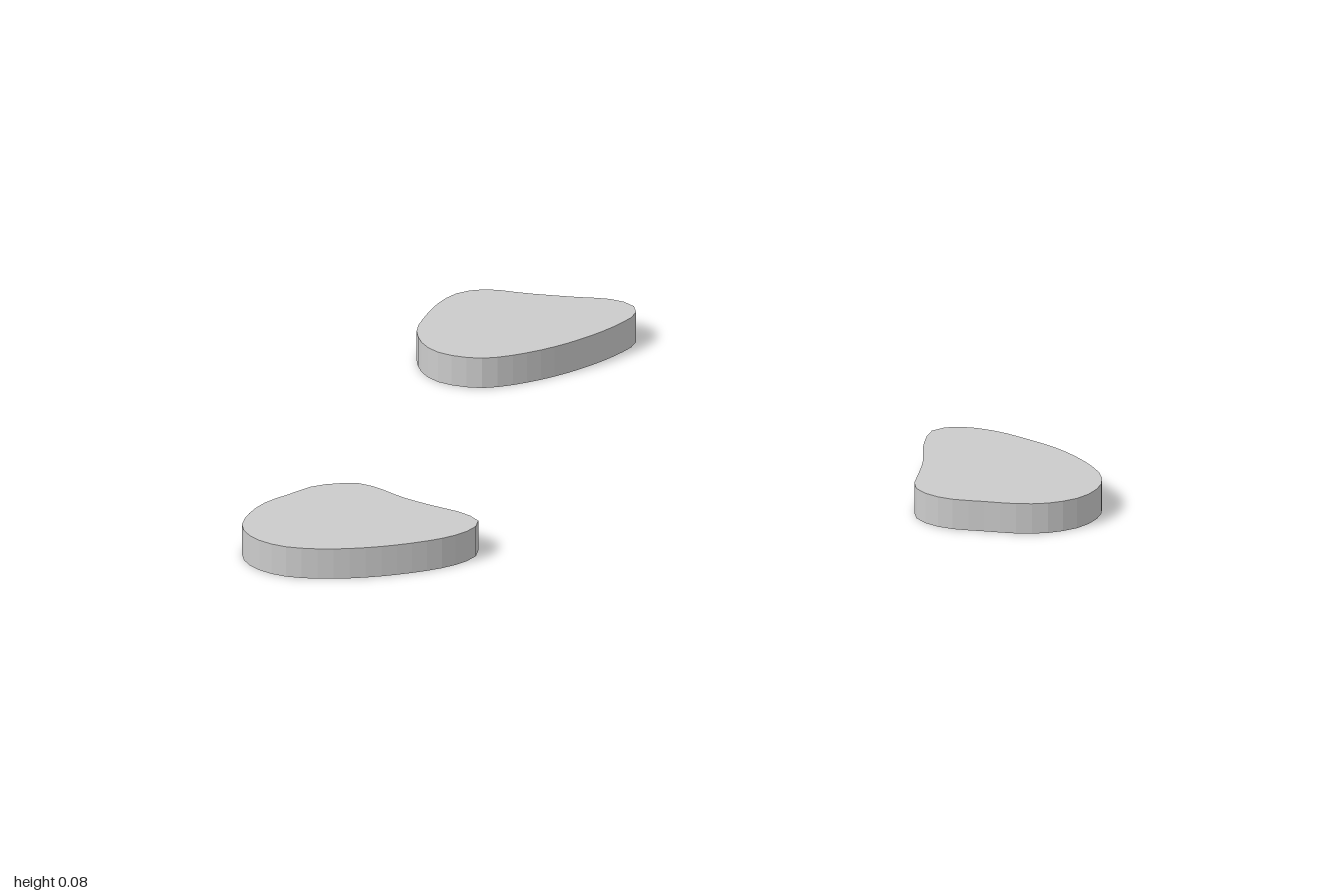
import * as THREE from 'three';

const HEIGHT = 0.075;

// Outlines as [x, z] seen from above
const OUTLINES = {
  backSteppingStone: [
    [-0.52, -0.85], [-0.42, -0.83], [-0.32, -0.815], [-0.21, -0.8], [-0.165, -0.76], [-0.16, -0.71],
    [-0.2, -0.635], [-0.27, -0.55], [-0.355, -0.475], [-0.45, -0.42], [-0.51, -0.405], [-0.595, -0.43],
    [-0.64, -0.48], [-0.665, -0.575], [-0.65, -0.67], [-0.62, -0.765], [-0.58, -0.825],
  ],
  leftSteppingStone: [
    [0.645, -0.03], [0.725, -0.01], [0.8, 0.035], [0.885, 0.1], [0.955, 0.185], [0.993, 0.265],
    [0.993, 0.335], [0.955, 0.405], [0.885, 0.447], [0.815, 0.457], [0.725, 0.447], [0.645, 0.435],
    [0.59, 0.405], [0.56, 0.36], [0.565, 0.27], [0.57, 0.2], [0.565, 0.08], [0.585, -0.01],
  ],
  frontSteppingStone: [
    [-0.745, 0.415], [-0.7, 0.44], [-0.635, 0.5], [-0.56, 0.55], [-0.485, 0.595], [-0.447, 0.645],
    [-0.457, 0.69], [-0.505, 0.745], [-0.6, 0.797], [-0.72, 0.835], [-0.825, 0.845], [-0.905, 0.83],
    [-0.97, 0.78], [-0.999, 0.71], [-0.99, 0.635], [-0.955, 0.555], [-0.9, 0.495], [-0.845, 0.44],
    [-0.79, 0.42],
  ],
};

// Flat slab with a rounded, irregular outline
function makeStone(name, outline, material) {
  const points = outline.map(([x, z]) => new THREE.Vector3(x, -z, 0));
  const curve = new THREE.CatmullRomCurve3(points, true);
  const ring = curve.getSpacedPoints(40).slice(0, -1);
  const shape = new THREE.Shape(ring.map((p) => new THREE.Vector2(p.x, p.y)));
  const geometry = new THREE.ExtrudeGeometry(shape, { depth: HEIGHT, bevelEnabled: false });
  geometry.rotateX(-Math.PI / 2);
  const mesh = new THREE.Mesh(geometry, material);
  mesh.name = name;
  return mesh;
}

export function createModel() {
  const group = new THREE.Group();
  group.name = 'steppingStones';
  const material = new THREE.MeshStandardMaterial({ color: 0xcccccc, flatShading: true });
  for (const [name, outline] of Object.entries(OUTLINES)) {
    group.add(makeStone(name, outline, material));
  }
  return group;
}
